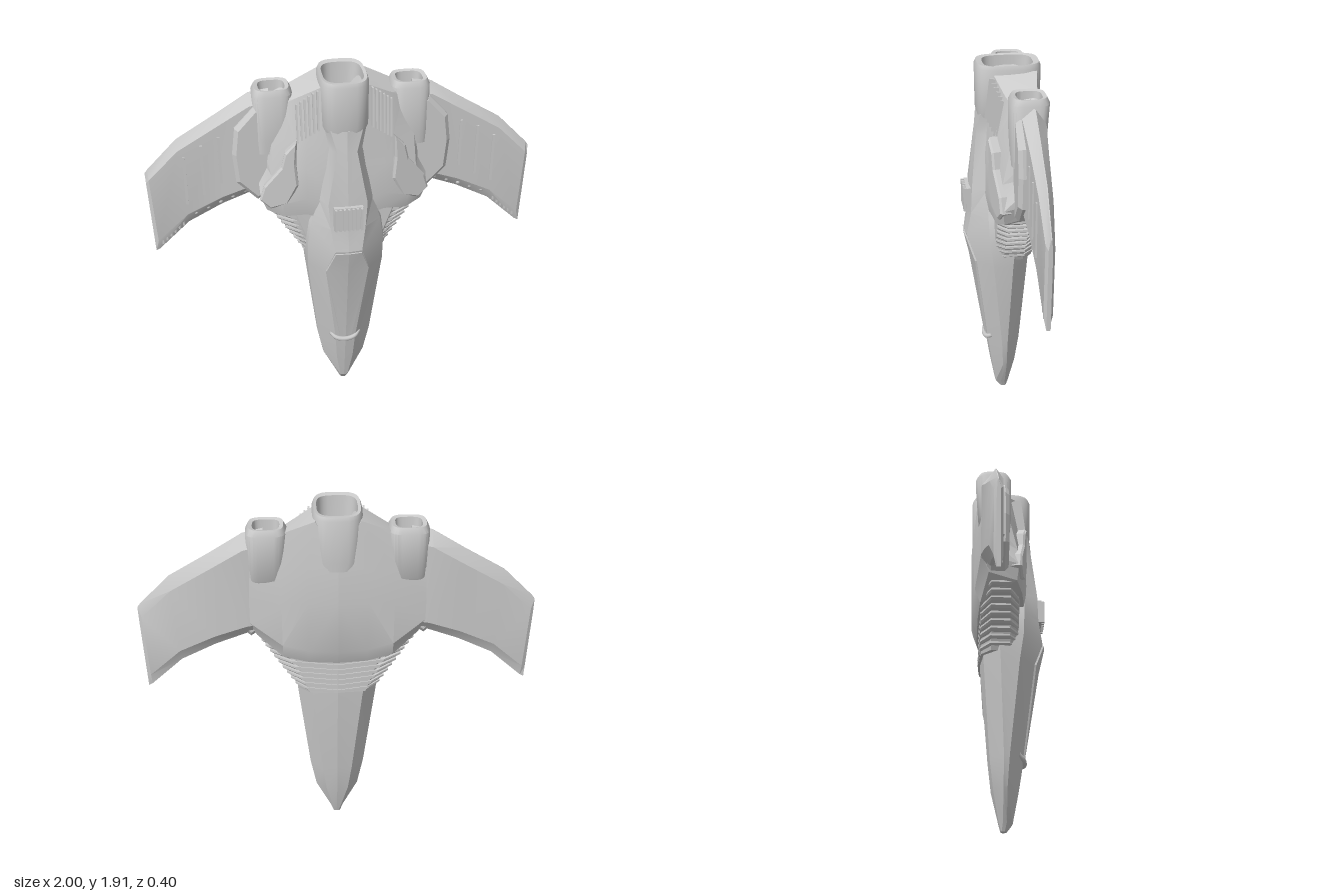
import * as THREE from 'three';
import { toCreasedNormals } from 'three/addons/utils/BufferGeometryUtils.js';

const grey = new THREE.MeshStandardMaterial({ color: 0xcccccc });
const lined = new THREE.MeshStandardMaterial({ color: 0xcccccc, side: THREE.DoubleSide });

function add(parent, name, geometry, x = 0, y = 0, z = 0, material = grey) {
  const mesh = new THREE.Mesh(geometry, material);
  mesh.name = name;
  mesh.position.set(x, y, z);
  parent.add(mesh);
  return mesh;
}

// Skins rings of [x, y, z] points; open rings are half sections running front to back.
function skin(rings, closed, crease = 0.35) {
  const out = [];
  const n = rings[0].length;
  const tri = (a, b, c) => out.push(...a, ...b, ...c);
  const quad = (a, b, c, d) => { tri(a, b, c); tri(a, c, d); };
  for (let j = 0; j + 1 < rings.length; j++) {
    for (let i = 0; i < (closed ? n : n - 1); i++) {
      const k = (i + 1) % n;
      quad(rings[j][i], rings[j][k], rings[j + 1][k], rings[j + 1][i]);
    }
  }
  const lo = rings[0], hi = rings[rings.length - 1];
  for (let i = 0; i < Math.floor(n / 2); i++) {
    const a = i, b = i + 1, c = n - 2 - i, d = n - 1 - i;
    quad(hi[a], hi[b], hi[c], hi[d]);
    quad(lo[d], lo[c], lo[b], lo[a]);
  }
  const g = new THREE.BufferGeometry();
  g.setAttribute('position', new THREE.Float32BufferAttribute(out, 3));
  return toCreasedNormals(g, crease);
}

// Half section at one height from [x, z] pairs
const level = (y, ...pts) => pts.map(([x, z]) => [x, y, z]);

// Rounded-square ring for engine ducts
function ductRing(cx, cz, rx, rz, y) {
  const soft = v => Math.sign(v) * Math.pow(Math.abs(v), 0.6);
  return Array.from({ length: 28 }, (_, i) => {
    const t = i / 28 * Math.PI * 2;
    return [cx + rx * soft(Math.sin(t)), y, cz + rz * soft(Math.cos(t))];
  });
}

function plate(points, depth, bevel) {
  const shape = new THREE.Shape(points.map(p => new THREE.Vector2(...p)));
  return new THREE.ExtrudeGeometry(shape, {
    depth, bevelEnabled: true, bevelThickness: bevel, bevelSize: bevel, bevelOffset: -bevel, bevelSegments: 1,
  });
}

function buildSide() {
  const side = new THREE.Group();

  // Nose running into the raised spine
  add(side, 'noseAndSpine', skin([
    level(0, [0, 0], [0.01, 0], [0.018, -0.01], [0.018, -0.025], [0.01, -0.03], [0, -0.03]),
    level(0.04, [0, 0.03], [0.02, 0.028], [0.034, 0], [0.034, -0.02], [0.02, -0.04], [0, -0.042]),
    level(0.2, [0, 0.06], [0.045, 0.055], [0.113, 0], [0.115, -0.02], [0.06, -0.07], [0, -0.08]),
    level(0.36, [0, 0.085], [0.055, 0.078], [0.145, 0.01], [0.147, -0.02], [0.08, -0.09], [0, -0.098]),
    level(0.86, [0, 0.163], [0.115, 0.14], [0.2, 0.06], [0.207, -0.04], [0.13, -0.125], [0, -0.14]),
    level(1.0, [0, 0.193], [0.07, 0.187], [0.2, 0.08], [0.22, -0.05], [0.15, -0.13], [0, -0.145]),
    level(1.13, [0, 0.17], [0.09, 0.165], [0.18, 0.085], [0.22, -0.05], [0.15, -0.13], [0, -0.15]),
    level(1.27, [0, 0.167], [0.1, 0.16], [0.14, 0.09], [0.15, -0.05], [0.12, -0.13], [0, -0.15]),
    level(1.55, [0, 0.138], [0.05, 0.132], [0.085, 0.08], [0.1, -0.05], [0.1, -0.13], [0, -0.15]),
    level(1.66, [0, 0.129], [0.08, 0.112], [0.118, 0.05], [0.118, -0.05], [0.1, -0.13], [0, -0.15]),
  ]));

  // Cockpit cover
  add(side, 'canopy', skin([
    level(0.38, [0, 0.094], [0.032, 0.092], [0.036, 0.07], [0, 0.07]),
    level(0.86, [0, 0.17], [0.112, 0.15], [0.12, 0.12], [0, 0.12]),
    level(0.99, [0, 0.199], [0.068, 0.194], [0.074, 0.16], [0, 0.16]),
  ]));

  // Central body shell
  add(side, 'bodyShell', skin([
    [[0, 1.12, 0.09], [0.2, 1.18, 0.08], [0.32, 1.17, 0.065], [0.40, 1.2, 0.035],
      [0.41, 1.24, -0.11], [0.28, 1.13, -0.15], [0.15, 1.1, -0.16], [0, 1.09, -0.16]],
    [[0, 1.22, 0.1], [0.2, 1.28, 0.095], [0.32, 1.25, 0.08], [0.43, 1.28, 0.045],
      [0.44, 1.33, -0.15], [0.28, 1.21, -0.178], [0.15, 1.18, -0.187], [0, 1.17, -0.19]],
    [[0, 1.45, 0.1], [0.2, 1.45, 0.085], [0.27, 1.45, 0.07], [0.37, 1.4, 0.04],
      [0.44, 1.47, -0.15], [0.28, 1.45, -0.175], [0.15, 1.45, -0.187], [0, 1.45, -0.195]],
    [[0, 1.6, 0.09], [0.19, 1.6, 0.065], [0.25, 1.6, 0.045], [0.36, 1.58, 0],
      [0.43, 1.62, -0.15], [0.28, 1.62, -0.165], [0.15, 1.62, -0.185], [0, 1.6, -0.195]],
    [[0, 1.7, 0.06], [0.11, 1.87, 0.05], [0.24, 1.8, 0.01], [0.3, 1.76, -0.02],
      [0.42, 1.74, -0.14], [0.27, 1.81, -0.14], [0.11, 1.88, -0.165], [0, 1.7, -0.18]],
  ]));

  // Ribbed collar behind the nose
  const collar = (y, w, lift) => [[0, 0.06], [w * 0.78, 0.055], [w, 0.01], [w, -0.09], [w * 0.72, -0.142], [0, -0.15]]
    .map(([x, z], i) => [x, y + lift * x, z]);
  add(side, 'collarCore', skin([collar(0.9, 0.2, 0), collar(1.2, 0.35, 0.1)]));
  for (let k = 0; k < 9; k++) {
    const y = 0.9 + k * 0.031, w = 0.222 + k * 0.021;
    const rib = skin([collar(y, w - 0.015, 0.1), collar(y + 0.008, w, 0.1), collar(y + 0.018, w, 0.1)]);
    add(side, 'collarRib', rib, 0, 0, -0.004);
  }

  // Swept wing
  const station = (xt, xb, top, bot, zf, zb) => {
    const mid = (zf + zb) / 2, inner = f => xb + (xt - xb) * f;
    return [[xt, top, mid], [inner(0.88), top - 0.05, zf], [inner(0.12), bot + 0.055, zf],
      [xb, bot, mid + 0.01], [xb, bot, mid - 0.01], [inner(0.12), bot + 0.06, zb], [inner(0.85), top - 0.07, zb], [xt, top, mid - 0.005]];
  };
  add(side, 'wing', skin([
    station(0.36, 0.36, 1.82, 1.26, -0.035, -0.14),
    station(0.46, 0.46, 1.8, 1.25, -0.04, -0.152),
    station(0.62, 0.62, 1.7, 1.19, -0.05, -0.138),
    station(0.83, 0.8, 1.575, 1.1, -0.055, -0.122),
    station(0.985, 0.965, 1.42, 0.95, -0.06, -0.104),
    station(1.0, 0.985, 1.4, 0.94, -0.072, -0.092),
  ], true));
  [[0.62, 1.33, 1.59], [0.71, 1.27, 1.55], [0.8, 1.22, 1.49]].forEach(([x, a, b], i) =>
    add(side, 'wingSlot', new THREE.BoxGeometry(0.014, b - a, 0.014), x, (a + b) / 2, -0.05 - i * 0.002));
  // Studs and short bars along the lower wing edge
  for (let k = 0; k < 5; k++) {
    const x = 0.5 + k * 0.065;
    add(side, 'edgeStud', new THREE.SphereGeometry(0.012, 8, 6), x, 1.265 - (x - 0.5) * 0.42, -0.07);
  }
  for (let k = 0; k < 6; k++) {
    const x = 0.83 + k * 0.023;
    add(side, 'edgeBar', new THREE.BoxGeometry(0.01, 0.03, 0.012), x, 1.1 - (x - 0.83) * 0.9, -0.07);
  }

  // Wing root panel
  add(side, 'wingRootPanel', plate([[0.34, 1.3], [0.44, 1.23], [0.545, 1.34], [0.558, 1.5],
    [0.54, 1.64], [0.44, 1.75], [0.34, 1.75]], 0.07, 0.02), 0, 0, -0.1);

  // Shoulder armour
  const armour = add(side, 'shoulderArmour', plate([[0.24, 1.6], [0.3, 1.54], [0.32, 1.46], [0.41, 1.35],
    [0.435, 1.27], [0.38, 1.22], [0.29, 1.25], [0.235, 1.36], [0.245, 1.48]], 0.05, 0.01), 0, 0, 0.085);
  armour.rotation.y = 0.2;

  // Side engine duct with hollow exhaust
  add(side, 'sideEngine', skin([
    ductRing(0.355, -0.06, 0.085, 0.06, 1.5),
    ductRing(0.35, -0.08, 0.095, 0.085, 1.57),
    ductRing(0.345, -0.087, 0.1, 0.095, 1.81),
    ductRing(0.345, -0.087, 0.085, 0.08, 1.84),
    ductRing(0.345, -0.087, 0.066, 0.062, 1.835),
    ductRing(0.345, -0.087, 0.055, 0.052, 1.68),
  ], true, 0.6), 0, 0, 0, lined);

  // Slatted vents beside the central engine
  for (let k = 0; k < 6; k++) {
    const slat = add(side, 'ventSlat', new THREE.BoxGeometry(0.009, 0.2, 0.06), 0.135 + k * 0.02, 1.755 - k * 0.016, 0.055 - k * 0.008);
    slat.rotation.x = -0.12;
  }
  return side;
}

export function createModel() {
  const model = new THREE.Group();
  model.name = 'starship';
  const left = buildSide();
  left.name = 'leftHalf';
  const right = left.clone();
  right.name = 'rightHalf';
  right.scale.x = -1;
  model.add(left, right);

  // Central engine duct
  add(model, 'centralEngine', skin([
    ductRing(0, -0.04, 0.085, 0.15, 1.58),
    ductRing(0, -0.033, 0.122, 0.16, 1.67),
    ductRing(0, -0.033, 0.122, 0.163, 1.89),
    ductRing(0, -0.033, 0.114, 0.155, 1.91),
    ductRing(0, -0.033, 0.1, 0.125, 1.905),
    ductRing(0, -0.033, 0.092, 0.11, 1.72),
  ], true, 0.6), 0, 0, 0, lined);

  // Grille on the spine
  add(model, 'spineGrille', new THREE.BoxGeometry(0.15, 0.13, 0.06), 0, 1.195, 0.155);
  for (let k = -3; k <= 3; k++) {
    add(model, 'grilleBar', new THREE.BoxGeometry(0.011, 0.125, 0.03), k * 0.022, 1.195, 0.185);
  }

  // Curved band ahead of the canopy
  const band = new THREE.CatmullRomCurve3([[-0.078, 0.38, 0.055], [-0.05, 0.36, 0.082], [0, 0.352, 0.09],
    [0.05, 0.36, 0.082], [0.078, 0.38, 0.055]].map(p => new THREE.Vector3(...p)));
  add(model, 'noseBand', new THREE.TubeGeometry(band, 20, 0.013, 8));
  return model;
}
